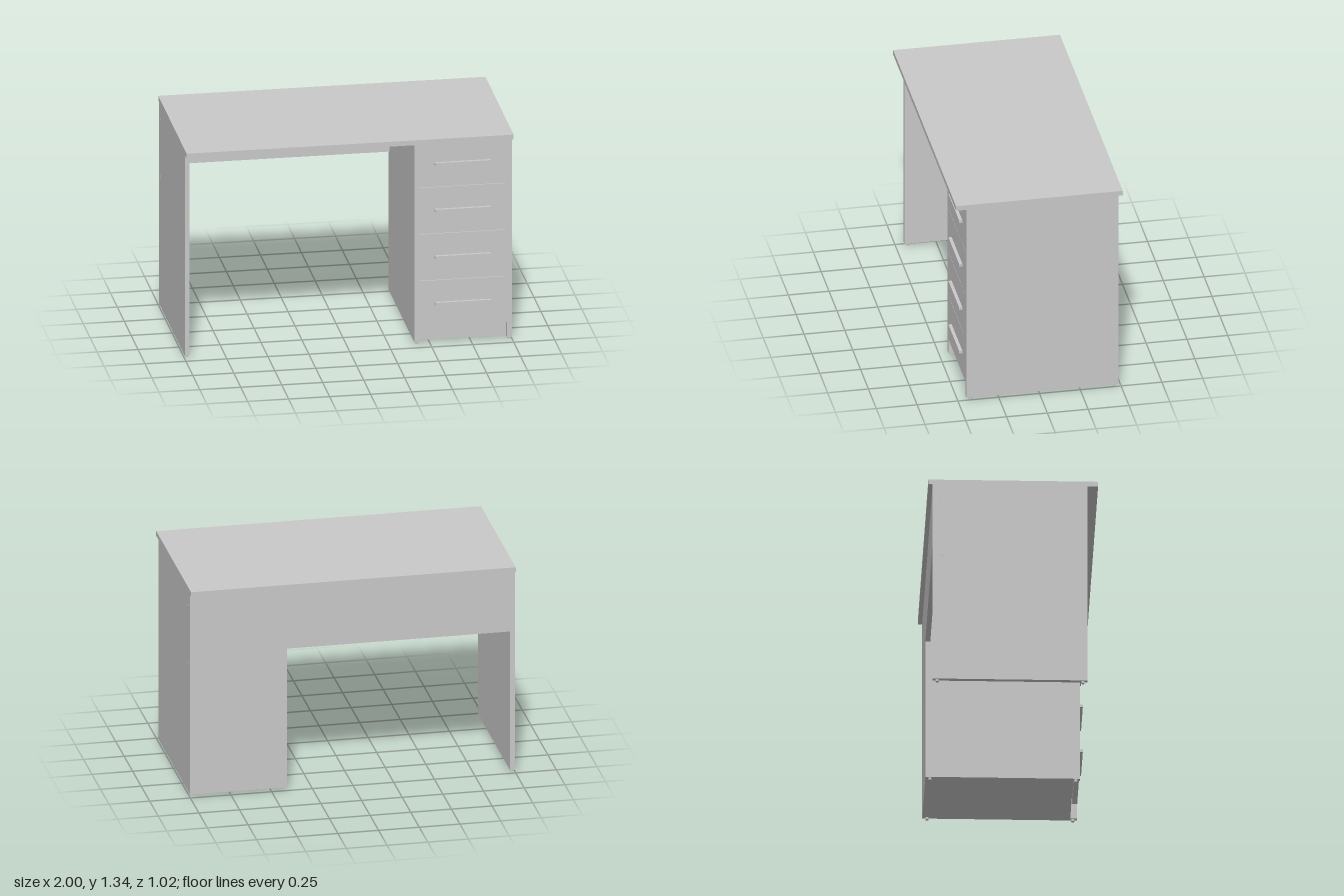
import * as THREE from 'three';

export function createModel() {
  const desk = new THREE.Group();
  desk.name = 'desk';
  const grey = new THREE.MeshStandardMaterial({ color: 0xc8c8c8 });
  grey.name = 'light grey laminate';

  // Box given by its limits on each axis
  function board(name, [x0, x1], [y0, y1], [z0, z1]) {
    const mesh = new THREE.Mesh(new THREE.BoxGeometry(x1 - x0, y1 - y0, z1 - z0), grey);
    mesh.name = name;
    mesh.position.set((x0 + x1) / 2, (y0 + y1) / 2, (z0 + z1) / 2);
    desk.add(mesh);
  }

  const base = 0.015, under = 1.304, back = -0.485, front = 0.447, t = 0.03;
  const height = [base, under], depth = [back, front];
  const cabinet = [0.433, 0.968];

  // Top and upright panels
  board('deskTop', [-0.998, 0.998], [under, 1.335], [-0.511, 0.511]);
  board('rightSidePanel', [-0.998, -0.968], height, depth);
  board('dividerPanel', [0.403, 0.433], height, depth);
  board('leftSidePanel', [0.968, 0.998], height, depth);
  board('modestyPanel', [-0.968, 0.403], [0.912, under], [back, back + t]);

  // Drawer cabinet
  board('cabinetBack', cabinet, height, [back, back + t]);
  board('cabinetBottom', cabinet, [base, base + t], [back + t, 0.375]);
  board('plinth', cabinet, [base, 0.109], [0.375, 0.405]);

  // Four drawers with bar handles
  const step = (under - 0.11) / 4;
  for (let i = 0; i < 4; i++) {
    const y = 0.11 + i * step;
    board('drawerFront', [0.434, 0.967], [y + 0.001, y + step - 0.002], [front - t, front]);
    board('drawerBox', [0.45, 0.95], [y + 0.03, y + step - 0.05], [-0.4, front - t]);
    const h = y + step / 2;
    board('drawerHandle', [0.527, 0.868], [h - 0.009, h + 0.009], [front, front + 0.02]);
  }

  // Round feet under each upright
  for (const x of [-0.983, 0.418, 0.983]) {
    for (const z of [-0.457, 0.421]) {
      const foot = new THREE.Mesh(new THREE.CylinderGeometry(0.01, 0.01, base, 20), grey);
      foot.name = 'foot';
      foot.position.set(x, base / 2, z);
      desk.add(foot);
    }
  }

  // Bolt caps on both outer sides
  for (const side of [-1, 1]) {
    for (const y of [1.216, 0.842]) {
      const cap = new THREE.Mesh(new THREE.CylinderGeometry(0.01, 0.01, 0.004, 20), grey);
      cap.name = 'boltCap';
      cap.rotation.z = Math.PI / 2;
      cap.position.set(side * 0.998, y, -0.431);
      desk.add(cap);
    }
  }
  return desk;
}
